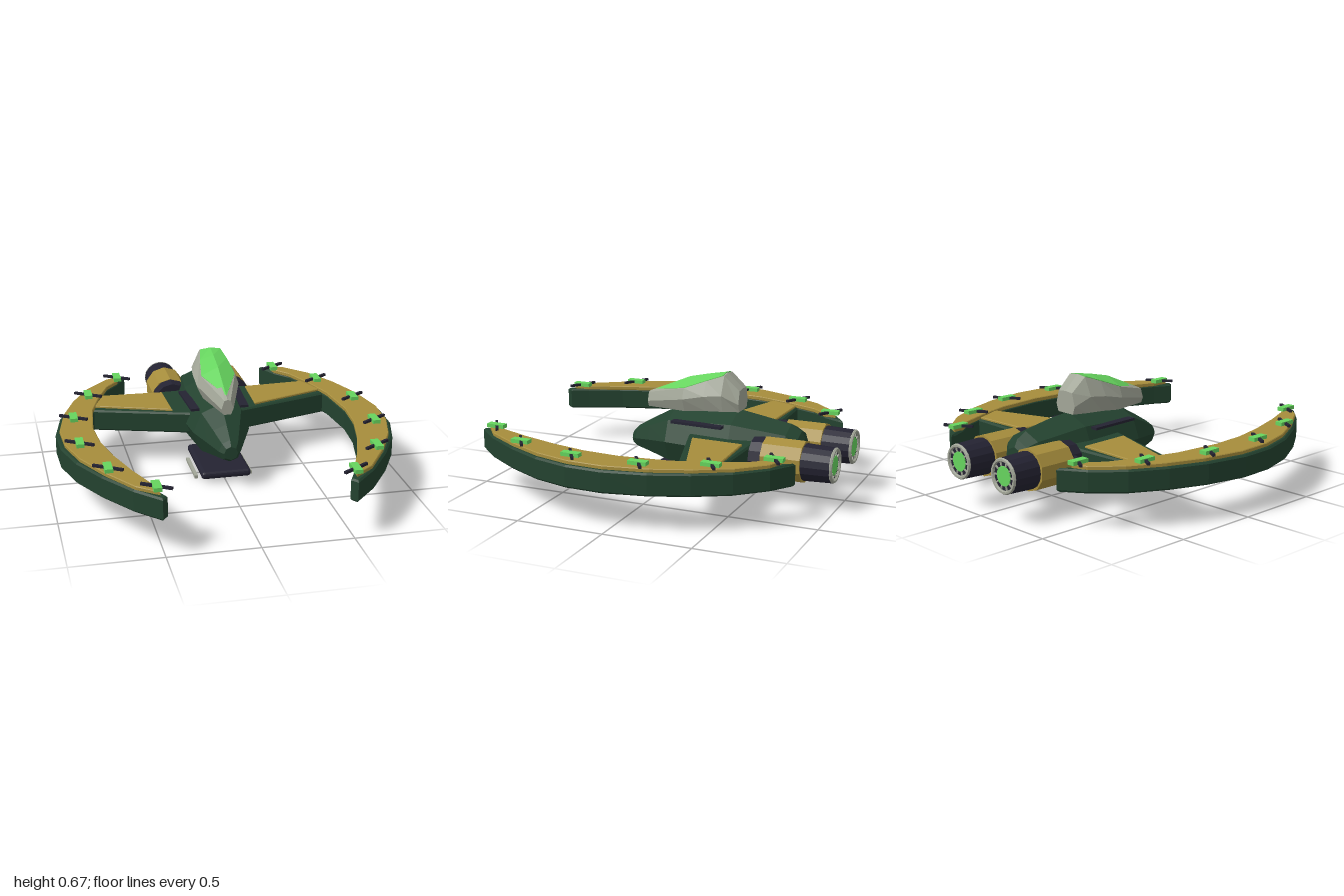
import * as THREE from 'three';
import { RoundedBoxGeometry } from 'three/addons/geometries/RoundedBoxGeometry.js';

function material(name, color, flatShading = true) {
  const m = new THREE.MeshStandardMaterial({ color, flatShading });
  m.name = name;
  return m;
}

// Closed skin through cross-sections listed front to back, each counter-clockwise seen from the front
function loft(sections) {
  const n = sections[0].length, index = [];
  sections.slice(1).forEach((_, s) => {
    for (let i = 0; i < n; i++) {
      const a = s * n + i, a1 = s * n + (i + 1) % n;
      index.push(a, a + n, a1, a1, a + n, a1 + n);
    }
  });
  const last = (sections.length - 1) * n;
  for (let i = 1; i < n - 1; i++) index.push(0, i, i + 1, last, last + i + 1, last + i);
  const g = new THREE.BufferGeometry();
  g.setAttribute('position', new THREE.Float32BufferAttribute(sections.flat(2), 3));
  g.setIndex(index);
  const flat = g.toNonIndexed();
  flat.computeVertexNormals();
  return flat;
}

// Horizontal slab from an outline of [x, z] points
function slab(points, bottom, top, bevel) {
  const shape = new THREE.Shape(points.map(([x, z]) => new THREE.Vector2(x, z)));
  const g = new THREE.ExtrudeGeometry(shape, {
    depth: top - bottom - 2 * bevel, bevelEnabled: bevel > 0, bevelSegments: 1,
    bevelThickness: bevel, bevelSize: bevel, bevelOffset: -bevel,
  });
  return g.rotateX(Math.PI / 2).translate(0, top - bevel, 0);
}

// Cylinder lying along z between two depths
function barrel(rFront, rBack, zFront, zBack, sides) {
  return new THREE.CylinderGeometry(rFront, rBack, zFront - zBack, sides)
    .rotateX(Math.PI / 2).translate(0, 0, (zFront + zBack) / 2);
}

export function createModel() {
  const model = new THREE.Group();
  model.name = 'spacecraft';
  const green = material('dark green hull', 0x23422f);
  const gold = material('gold panel', 0xa68d3c);
  const dark = material('dark metal', 0x242332);
  const grey = material('pale grey metal', 0xa2a698);
  const glow = material('bright green', 0x66d45e);

  const add = (name, geometry, mat, parent = model) => {
    const mesh = new THREE.Mesh(geometry, mat);
    mesh.name = name;
    parent.add(mesh);
    return mesh;
  };

  // Eight-sided fuselage: z, centre height, radius
  const stations = [
    [0.28, 0.225, 0.04], [0.25, 0.23, 0.065], [0.155, 0.245, 0.107], [0.02, 0.262, 0.165],
    [-0.37, 0.258, 0.2], [-0.68, 0.26, 0.145], [-0.74, 0.26, 0.11], [-0.76, 0.26, 0.07],
  ];
  add('fuselage', loft(stations.map(([z, y, r]) => Array.from({ length: 8 }, (_, i) => {
    const a = i * Math.PI / 4;
    return [r * Math.cos(a), y + r * Math.sin(a), z];
  }))), green);

  // Cockpit shell: z, then half-width and height of floor, waist and shoulder, then ridge height
  const cockpit = [
    [0.183, 0.02, 0.422, 0.035, 0.455, 0.018, 0.505, 0.51],
    [-0.07, 0.09, 0.435, 0.122, 0.51, 0.1, 0.57, 0.615],
    [-0.2, 0.095, 0.45, 0.125, 0.54, 0.082, 0.62, 0.645],
    [-0.3, 0.09, 0.455, 0.11, 0.55, 0.062, 0.655, 0.662],
    [-0.39, 0.06, 0.455, 0.075, 0.5, 0.055, 0.575, 0.58],
  ];
  add('cockpitShell', loft(cockpit.map(([z, fw, fy, ww, wy, sw, sy, ry]) => [
    [fw, fy, z], [ww, wy, z], [sw, sy, z], [0, ry, z], [-sw, sy, z], [-ww, wy, z], [-fw, fy, z],
  ])), grey);

  // Canopy glass: a thin skin over the shell, z, half-width, edge height, ridge height
  const glass = [
    [0.145, 0.004, 0.525, 0.526], [-0.07, 0.098, 0.574, 0.619],
    [-0.2, 0.08, 0.624, 0.649], [-0.292, 0.06, 0.657, 0.666],
  ];
  add('canopyGlass', loft(glass.map(([z, w, e, r]) => [
    [w, e, z], [0, r, z], [-w, e, z], [-w, e - 0.006, z], [0, r - 0.006, z], [w, e - 0.006, z],
  ])), glow);

  // Belly skid
  add('bellySkid', new RoundedBoxGeometry(0.29, 0.045, 0.45, 2, 0.02).translate(0, 0.047, -0.055), dark);

  // Crescent: outer x, z and inner x, z from rear tip to front tip
  const crescent = [
    [0.44, -0.85, 0.45, -0.82], [0.58, -0.76, 0.5, -0.72], [0.72, -0.61, 0.575, -0.63],
    [0.825, -0.42, 0.645, -0.46], [0.905, -0.21, 0.71, -0.25], [0.953, 0.03, 0.74, 0.03],
    [0.945, 0.24, 0.725, 0.24], [0.885, 0.45, 0.68, 0.44], [0.775, 0.66, 0.61, 0.66],
    [0.64, 0.86, 0.53, 0.86], [0.51, 0.998, 0.48, 0.96],
  ];
  const inlay = crescent.slice(1, -1).map(([ox, oz, ix, iz]) =>
    [ox + (ix - ox) * 0.11, oz + (iz - oz) * 0.11, ix, iz]);
  const outline = (rows, side) => [
    ...rows.map(r => [side * r[0], r[1]]),
    ...rows.slice().reverse().map(r => [side * r[2], r[3]]),
  ];
  const emitters = [[0.5, -0.755], [0.71, -0.485], [0.835, -0.13], [0.842, 0.255], [0.735, 0.62], [0.525, 0.9]];

  for (const side of [1, -1]) {
    const half = new THREE.Group();
    half.name = side > 0 ? 'leftSide' : 'rightSide';
    model.add(half);
    const mirror = pts => pts.map(([x, z]) => [side * x, z]);

    // Crescent wing and its gold top
    add('crescent', slab(outline(crescent, side), 0.2, 0.325, 0.01), green, half);
    const goldPoints = outline(inlay, side);
    goldPoints.splice(inlay.length, 0, [side * 0.515, 0.95]);
    goldPoints.unshift([side * 0.49, -0.79]);
    add('crescentInlay', slab(goldPoints, 0.32, 0.345, 0.004), gold, half);

    // Connecting wing and its panel
    add('wing', slab(mirror([[0.1, -0.53], [0.68, -0.51], [0.73, -0.3], [0.1, -0.11]]), 0.2, 0.325, 0.01), green, half);
    add('wingPanel', slab(mirror([[0.26, -0.485], [0.62, -0.5], [0.69, -0.335], [0.25, -0.185]]), 0.32, 0.337, 0.004), gold, half);

    // Emitters with slanted crossbars
    for (const [x, z] of emitters) {
      const bar = add('emitterBar', new THREE.BoxGeometry(0.175, 0.014, 0.016), dark, half);
      bar.position.set(side * x, 0.355, z);
      bar.rotation.y = side * 0.56;
      add('emitter', new THREE.BoxGeometry(0.044, 0.022, 0.104).translate(side * x, 0.355, z), glow, half);
    }

    // Slot along the shoulder of the fuselage
    const slot = add('shoulderSlot', new THREE.BoxGeometry(0.05, 0.014, 0.31), dark, half);
    slot.position.set(side * 0.152, 0.385, -0.175);
    slot.rotation.y = -side * 0.05;

    // Landing rail
    add('landingRail', new THREE.BoxGeometry(0.02, 0.018, 0.27).translate(side * 0.16, 0.009, -0.055), grey, half);

    // Engine
    const engine = new THREE.Group();
    engine.name = 'engine';
    engine.position.set(side * 0.188, 0.257, 0);
    half.add(engine);
    add('intake', barrel(0.108, 0.114, -0.53, -0.6, 12), dark, engine);
    add('engineCasing', barrel(0.118, 0.118, -0.6, -0.825, 10), gold, engine);
    add('nozzle', barrel(0.103, 0.097, -0.825, -0.985, 16), dark, engine);
    add('nozzleRim', new THREE.TorusGeometry(0.088, 0.011, 6, 20).translate(0, 0, -0.989), grey, engine);
    add('exhaustGlow', barrel(0.054, 0.054, -0.984, -0.991, 16), glow, engine);
    for (let i = 0; i < 10; i++) {
      add('nozzleVane', new THREE.BoxGeometry(0.022, 0.008, 0.008)
        .translate(0.066, 0, -0.988).rotateZ(i * Math.PI / 5), grey, engine);
    }
  }
  return model;
}
